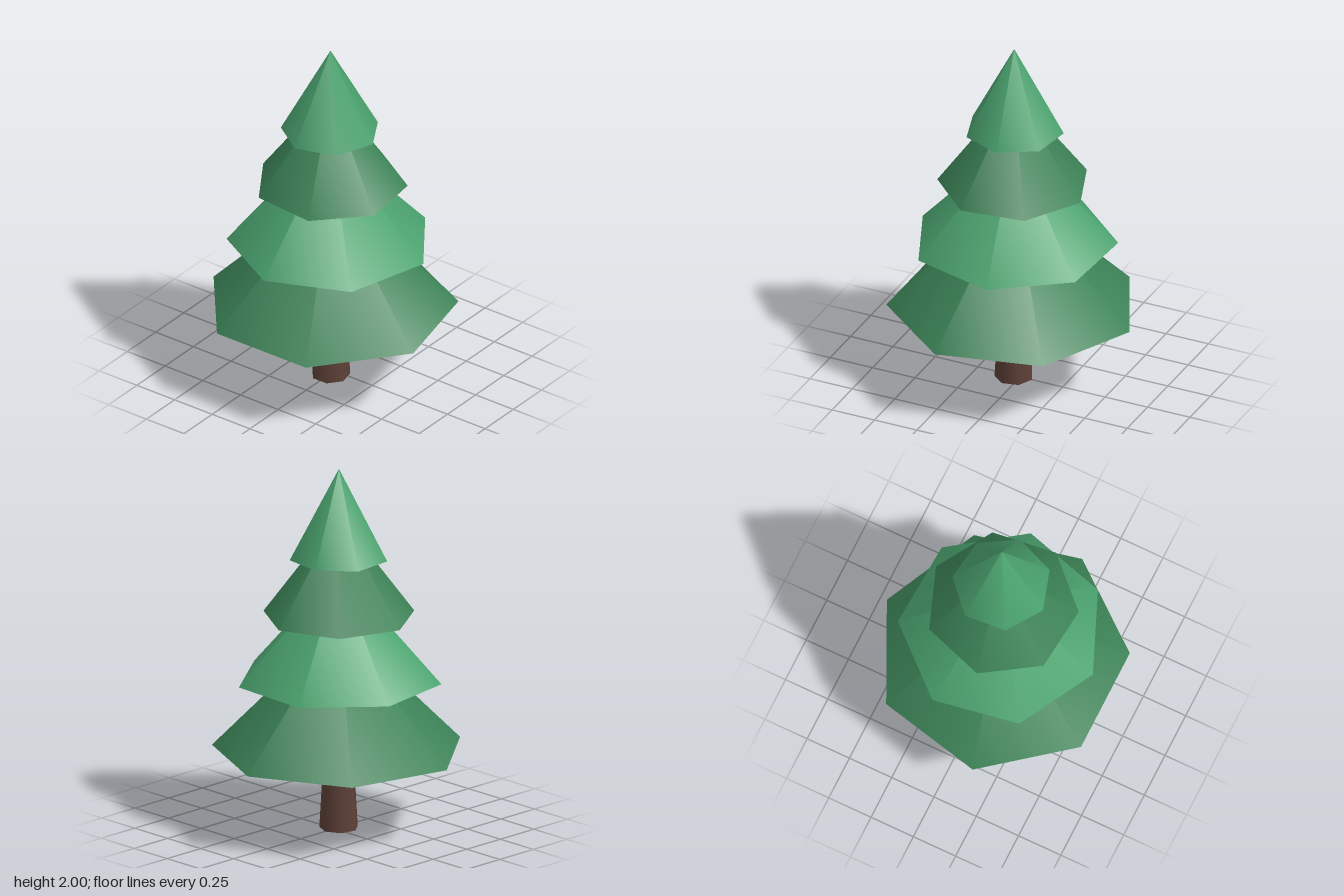
import * as THREE from 'three';

export function createModel() {
  const tree = new THREE.Group();
  tree.name = 'pineTree';

  const mat = (name, color) => {
    const m = new THREE.MeshStandardMaterial({ color });
    m.name = name;
    return m;
  };
  const bark = mat('barkBrown', 0x5d4037);
  const dark = mat('darkGreen', 0x3b8256);
  const light = mat('lightGreen', 0x4aa26e);

  const SIDES = 7;
  const AXIS_X = -0.035; // the seven-sided outline is offset so its bounds are centred

  const add = (name, geometry, material, baseY, height, turn) => {
    const mesh = new THREE.Mesh(geometry, material);
    mesh.name = name;
    mesh.position.set(AXIS_X, baseY + height / 2, 0);
    mesh.rotation.y = turn;
    tree.add(mesh);
  };

  // Tapered trunk, ending just inside the lowest tier
  add('trunk', new THREE.CylinderGeometry(0.078, 0.105, 0.48, SIDES), bark, 0, 0.48, Math.PI / 2);

  // Foliage tiers: radius, base height, cone height, twist
  const tiers = [
    ['lowestFoliage', 0.68, 0.435, 0.70, Math.PI / 2, dark],
    ['lowerFoliage', 0.553, 0.828, 0.612, 0.173, light],
    ['upperFoliage', 0.411, 1.18, 0.56, -0.322, dark],
    ['topFoliage', 0.266, 1.505, 0.495, 0.077, light],
  ];
  for (const [name, radius, baseY, height, turn, material] of tiers) {
    add(name, new THREE.ConeGeometry(radius, height, SIDES), material, baseY, height, turn);
  }

  return tree;
}
